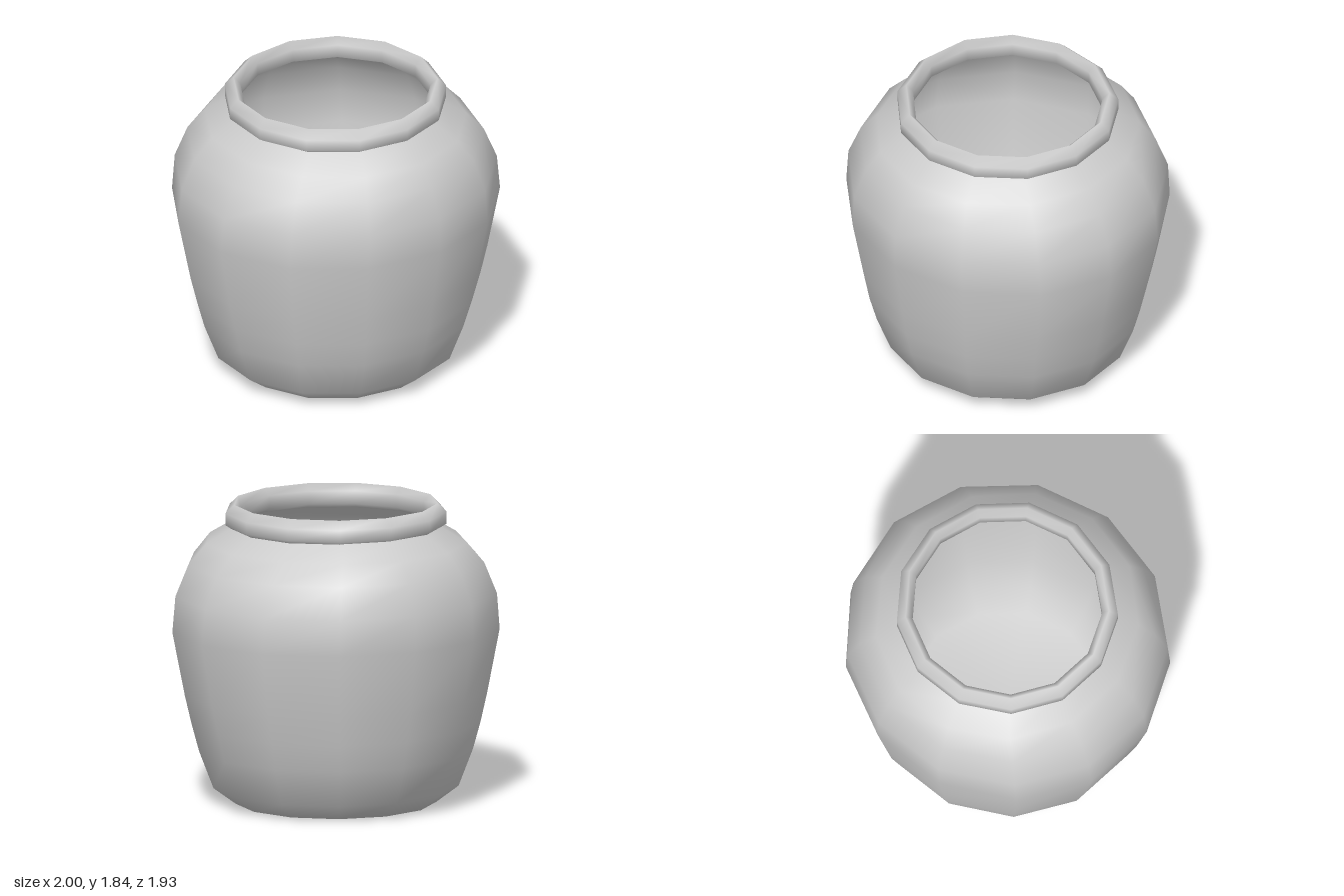
import * as THREE from 'three';

const SIDES = 13;
const OFFSET_X = -0.015; // an odd-sided ring is not centred on its bounding box

// Skin stacked 13-sided rings given as [y, radiusX, radiusZ]; a zero radius closes to a point.
function ringSkin(rings, closed = false) {
  const positions = [];
  const index = [];
  for (const [y, rx, rz] of rings) {
    for (let i = 0; i < SIDES; i++) {
      const a = (i / SIDES) * Math.PI * 2;
      positions.push(rx * Math.cos(a) + OFFSET_X, y, rz * Math.sin(a));
    }
  }
  const spans = closed ? rings.length : rings.length - 1;
  for (let r = 0; r < spans; r++) {
    const s = (r + 1) % rings.length;
    for (let i = 0; i < SIDES; i++) {
      const j = (i + 1) % SIDES;
      const a = r * SIDES + i, b = r * SIDES + j;
      const c = s * SIDES + i, d = s * SIDES + j;
      if (rings[r][1] > 0) index.push(a, c, b);
      if (rings[s][1] > 0) index.push(b, c, d);
    }
  }
  const geometry = new THREE.BufferGeometry();
  geometry.setAttribute('position', new THREE.Float32BufferAttribute(positions, 3));
  geometry.setIndex(index);
  geometry.computeVertexNormals();
  return geometry;
}

export function createModel() {
  const model = new THREE.Group();
  model.name = 'jar';
  const material = new THREE.MeshStandardMaterial({ color: 0xcccccc, side: THREE.DoubleSide });

  // Hollow body: flat base, swelling wall, rounded shoulder and neck
  const body = new THREE.Mesh(ringSkin([
    [0, 0, 0],
    [0, 0.618, 0.606],
    [0.1, 0.755, 0.736],
    [0.33, 0.844, 0.822],
    [0.5, 0.89, 0.869],
    [0.68, 0.936, 0.901],
    [1.07, 1.015, 0.97],
    [1.29, 0.99, 0.967],
    [1.48, 0.908, 0.897],
    [1.605, 0.79, 0.81],
    [1.695, 0.637, 0.66],
    [1.73, 0.63, 0.63],
  ]), material);
  body.name = 'body';

  // Rolled lip, a closed ring around the mouth
  const rim = new THREE.Mesh(ringSkin([
    [1.69, 0.635, 0.63],
    [1.717, 0.677, 0.673],
    [1.79, 0.677, 0.673],
    [1.842, 0.624, 0.618],
    [1.8, 0.583, 0.577],
    [1.72, 0.583, 0.577],
  ], true), material);
  rim.name = 'rim';

  model.add(body, rim);
  return model;
}
